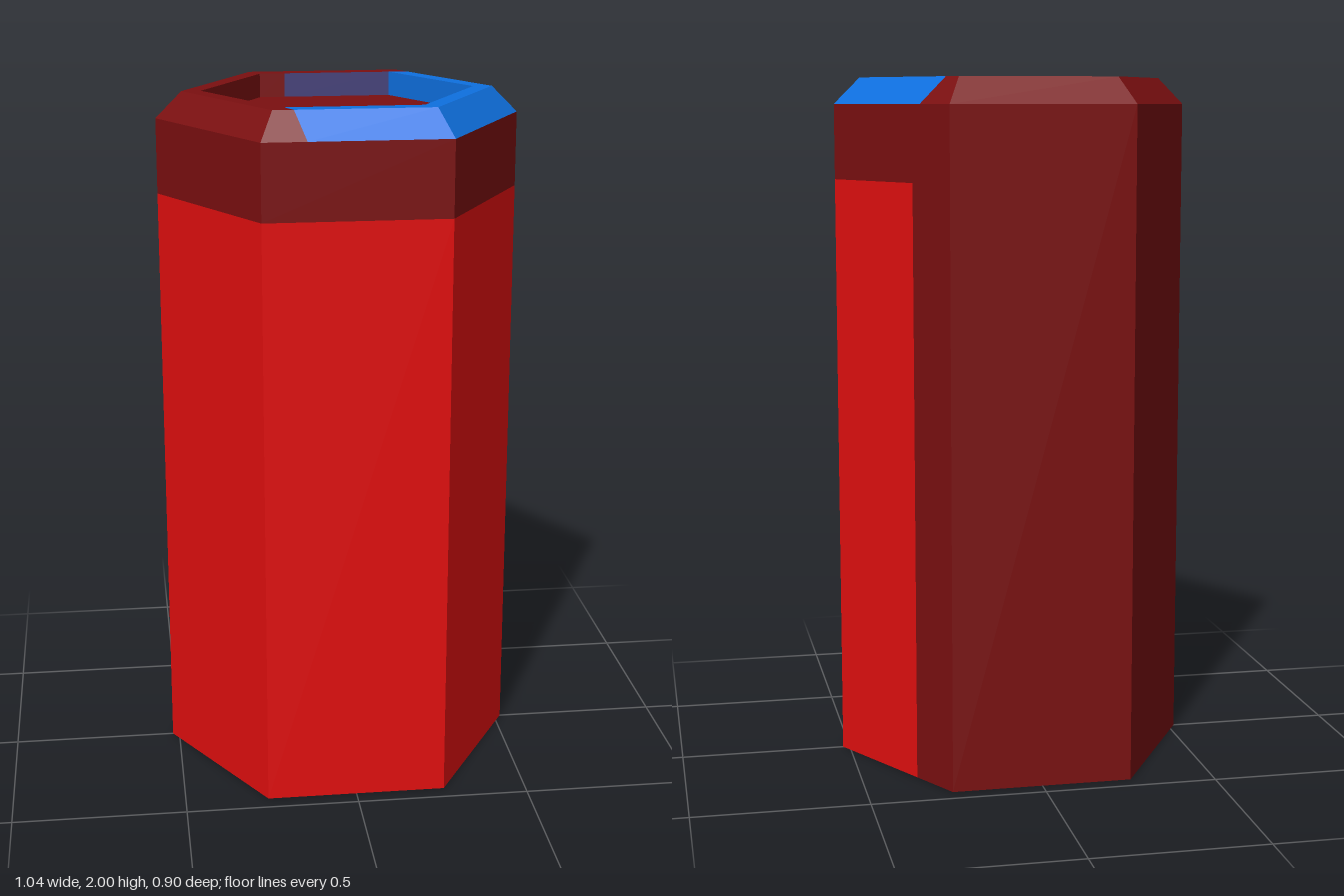
import * as THREE from 'three';

const paint = (name, color) => {
  const m = new THREE.MeshStandardMaterial({ color });
  m.name = name;
  return m;
};

export function createModel() {
  const red = paint('red', 0xe20f0f);
  const darkRed = paint('dark red', 0x7b0f10);
  const blue = paint('blue', 0x0e70e0);
  const violet = paint('dull violet', 0x45407a);

  const model = new THREE.Group();
  model.name = 'hexagonalColumn';

  // Flat convex polygons, each cut into a fan of triangles
  function addMesh(name, material, polygons) {
    const pos = [];
    for (const p of polygons)
      for (let i = 1; i < p.length - 1; i++) pos.push(...p[0], ...p[i], ...p[i + 1]);
    const g = new THREE.BufferGeometry();
    g.setAttribute('position', new THREE.Float32BufferAttribute(pos, 3));
    g.computeVertexNormals();
    const mesh = new THREE.Mesh(g, material);
    mesh.name = name;
    model.add(mesh);
  }

  // Point on side k of a hexagon ring, t running from corner k to corner k + 1
  const corner = (r, k) => [r * Math.cos(k * Math.PI / 3), r * Math.sin(k * Math.PI / 3)];
  function at([r, y], k, t) {
    const a = corner(r, k), b = corner(r, k + 1);
    return [a[0] + (b[0] - a[0]) * t, y, a[1] + (b[1] - a[1]) * t];
  }
  // Patch of side k between two rings; each span is [start, end]
  const patch = (lo, hi, k, s = [0, 1], e = s) =>
    [at(lo, k, s[1]), at(lo, k, s[0]), at(hi, k, e[0]), at(hi, k, e[1])];

  // Rings from the ground up, over the rim and down into the recess: [radius, y]
  const R = 0.52;
  const base = [R, 0], band = [R, 1.71], shoulder = [R, 1.925];
  const rimOut = [0.445, 2], rimIn = [0.39, 2], floor = [0.39, 1.93];

  // Sides: 0 front left, 1 front, 2 front right, 3 back right, 4 back, 5 back left
  addMesh('wallPanels', red,
    [0, 1, 2].map(k => patch(base, band, k)).concat([patch(base, band, 5, [0.31, 1])]));
  addMesh('wallBand', darkRed, [0, 1, 2, 5].map(k => patch(band, shoulder, k)));
  addMesh('backWalls', darkRed,
    [patch(base, shoulder, 3), patch(base, shoulder, 4), patch(base, band, 5, [0, 0.31])]);

  // Bevel and flat rim, with the blue running across three sides
  const rims = [
    ['bevel', shoulder, rimOut, [0.76, 0.87], [0.245, 0.125]],
    ['rim', rimOut, rimIn, [0.87, 0.98], [0.125, 0]],
  ];
  for (const [name, lo, hi, f, b] of rims) {
    addMesh(name + 'Blue', blue, [
      patch(lo, hi, 0),
      patch(lo, hi, 1, [0, f[0]], [0, f[1]]),
      patch(lo, hi, 5, [b[0], 1], [b[1], 1]),
    ]);
    addMesh(name + 'Red', darkRed, [
      patch(lo, hi, 1, [f[0], 1], [f[1], 1]),
      patch(lo, hi, 5, [0, b[0]], [0, b[1]]),
      ...[2, 3, 4].map(k => patch(lo, hi, k)),
    ]);
  }

  // Recess walls and floor
  addMesh('recessWallBlue', blue, [0, 1, 5].map(k => patch(rimIn, floor, k)));
  addMesh('recessWallRed', darkRed,
    [patch(rimIn, floor, 2), patch(rimIn, floor, 3), patch(rimIn, floor, 4, [0, 0.19])]);
  addMesh('recessWallViolet', violet, [patch(rimIn, floor, 4, [0.19, 1])]);
  addMesh('recessFloor', darkRed, [[5, 4, 3, 2, 1, 0].map(k => at(floor, k, 0))]);

  // Underside: blue field with a dark border along the back and right
  const field = [[-0.14, 0.45], [-0.36, 0.05], [-0.12, -0.345], [0.32, -0.345]].map(([x, z]) => [x, 0, z]);
  const foot = k => at(base, k, 0);
  addMesh('undersideField', blue, [[foot(0), foot(1), ...field]]);
  addMesh('undersideBorder', darkRed,
    [0, 1, 2].map(i => [field[i], foot(i + 2), foot(i + 3), field[i + 1]]));

  return model;
}
